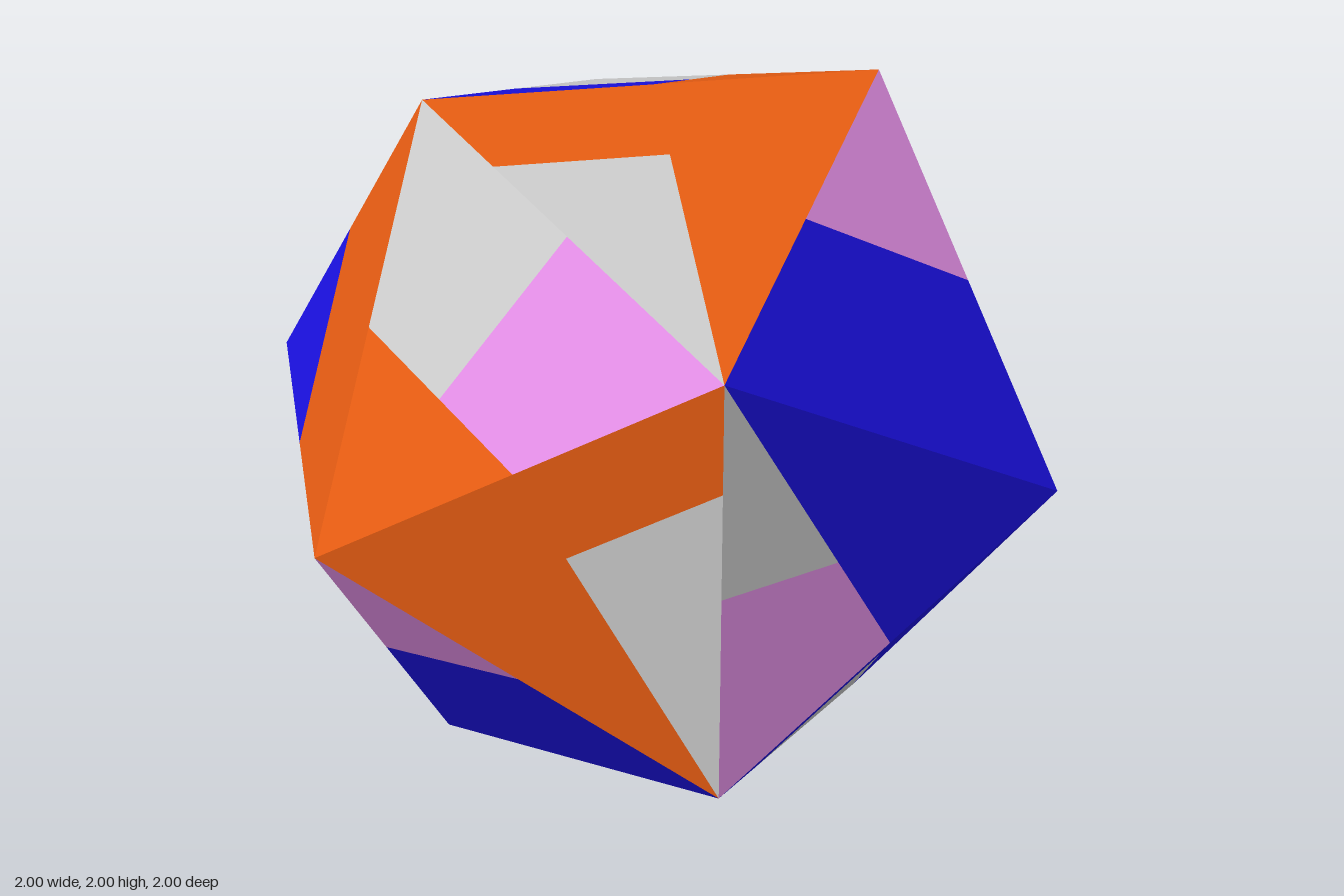
import * as THREE from 'three';

const PALETTE = { orange: 0xe65c12, blue: 0x1a10e0, violet: 0xe38ee6, grey: 0xcccccc };
const LETTER = { O: 'orange', B: 'blue', V: 'violet', G: 'grey' };

// Icosahedron corners: top/bottom (T, U), front (F, f), back (K, k), sides (R, L)
const b = (Math.sqrt(5) - 1) / 2;
const P = (x, y, z) => new THREE.Vector3(x, y + 1, z);
const CORNERS = {
  'T+': P(b, 1, 0), 'T-': P(-b, 1, 0), 'U+': P(b, -1, 0), 'U-': P(-b, -1, 0),
  F: P(0, b, 1), f: P(0, -b, 1), K: P(0, b, -1), k: P(0, -b, -1),
  'R+': P(1, 0, b), 'R-': P(1, 0, -b), 'L+': P(-1, 0, b), 'L-': P(-1, 0, -b),
};

// Points within a face as weights of its three corners
const A = [1, 0, 0], B = [0, 1, 0], C = [0, 0, 1];
const AB = [0.5, 0.5, 0], AC = [0.5, 0, 0.5], BC = [0, 0.5, 0.5];
const MID = [1 / 3, 1 / 3, 1 / 3];
const N = [0.5, 0.25, 0.25];
const Q = [0.25, 0.75, 0], M = [0.25, 0.375, 0.375];

// Ways a face is divided; each piece is a fan around its first point
const PATTERNS = {
  tip: [[A, AB, AC], [AB, B, C, AC]],
  kites: [[A, AB, MID, AC], [B, BC, MID, AB], [C, AC, MID, BC]],
  wedge: [[A, Q, M], [M, Q, B, C, A]],
  kiteAndSliver: [[A, AB, MID, AC], [B, MID, AB], [MID, AC, C, B]],
  tipAndHalves: [[A, AB, AC], [AB, B, BC, N], [AC, C, BC, N]],
  fourPart: [[A, AB, AC], [AB, B, BC, N], [BC, N, AC], [BC, C, AC]],
};

// Corners a, b, c of each face, its pattern, and one colour letter per piece
const FACES = [
  ['f F R+', 'kiteAndSliver', 'VGB'],
  ['f F L+', 'wedge', 'GO'],
  ['T+ F R+', 'tip', 'VB'],
  ['L+ T- F', 'tipAndHalves', 'OGV'],
  ['U+ f R+', 'wedge', 'GB'],
  ['L+ f U-', 'tip', 'VB'],
  ['F T- T+', 'wedge', 'GO'],
  ['U- f U+', 'tipAndHalves', 'BGO'],
  ['T+ R+ R-', 'kites', 'BVO'],
  ['R+ U+ R-', 'tip', 'OV'],
  ['R- K T+', 'tip', 'BO'],
  ['k U+ R-', 'kiteAndSliver', 'OGV'],
  ['K k R-', 'wedge', 'GV'],
  ['T+ T- K', 'tipAndHalves', 'OBG'],
  ['T- K L-', 'wedge', 'GV'],
  ['L- T- L+', 'tip', 'BO'],
  ['L- K k', 'fourPart', 'VBOG'],
  ['U- k L-', 'tip', 'OV'],
  ['L- L+ U-', 'kites', 'OBV'],
  ['k U+ U-', 'wedge', 'GB'],
];

// Adds a triangle, turned so that it faces away from the centre
const CENTRE = P(0, 0, 0);
function addTriangle(out, p, q, r) {
  const normal = q.clone().sub(p).cross(r.clone().sub(p));
  const order = normal.dot(p.clone().sub(CENTRE)) > 0 ? [p, q, r] : [p, r, q];
  for (const v of order) out.push(v.x, v.y, v.z);
}

export function createModel() {
  const group = new THREE.Group();
  group.name = 'patchworkIcosahedron';
  const positions = { orange: [], blue: [], violet: [], grey: [] };

  for (const [names, pattern, colours] of FACES) {
    const corners = names.split(' ').map((n) => CORNERS[n]);
    const place = (w) => corners.reduce((s, c, i) => s.addScaledVector(c, w[i]), new THREE.Vector3());
    PATTERNS[pattern].forEach((piece, i) => {
      const pts = piece.map(place);
      const out = positions[LETTER[colours[i]]];
      for (let k = 1; k < pts.length - 1; k++) addTriangle(out, pts[0], pts[k], pts[k + 1]);
    });
  }

  // One mesh for all the panels of a colour
  for (const [name, color] of Object.entries(PALETTE)) {
    const geometry = new THREE.BufferGeometry();
    geometry.setAttribute('position', new THREE.Float32BufferAttribute(positions[name], 3));
    geometry.computeVertexNormals();
    const mesh = new THREE.Mesh(geometry, new THREE.MeshStandardMaterial({ color, flatShading: true }));
    mesh.name = `${name}Panels`;
    group.add(mesh);
  }
  return group;
}
